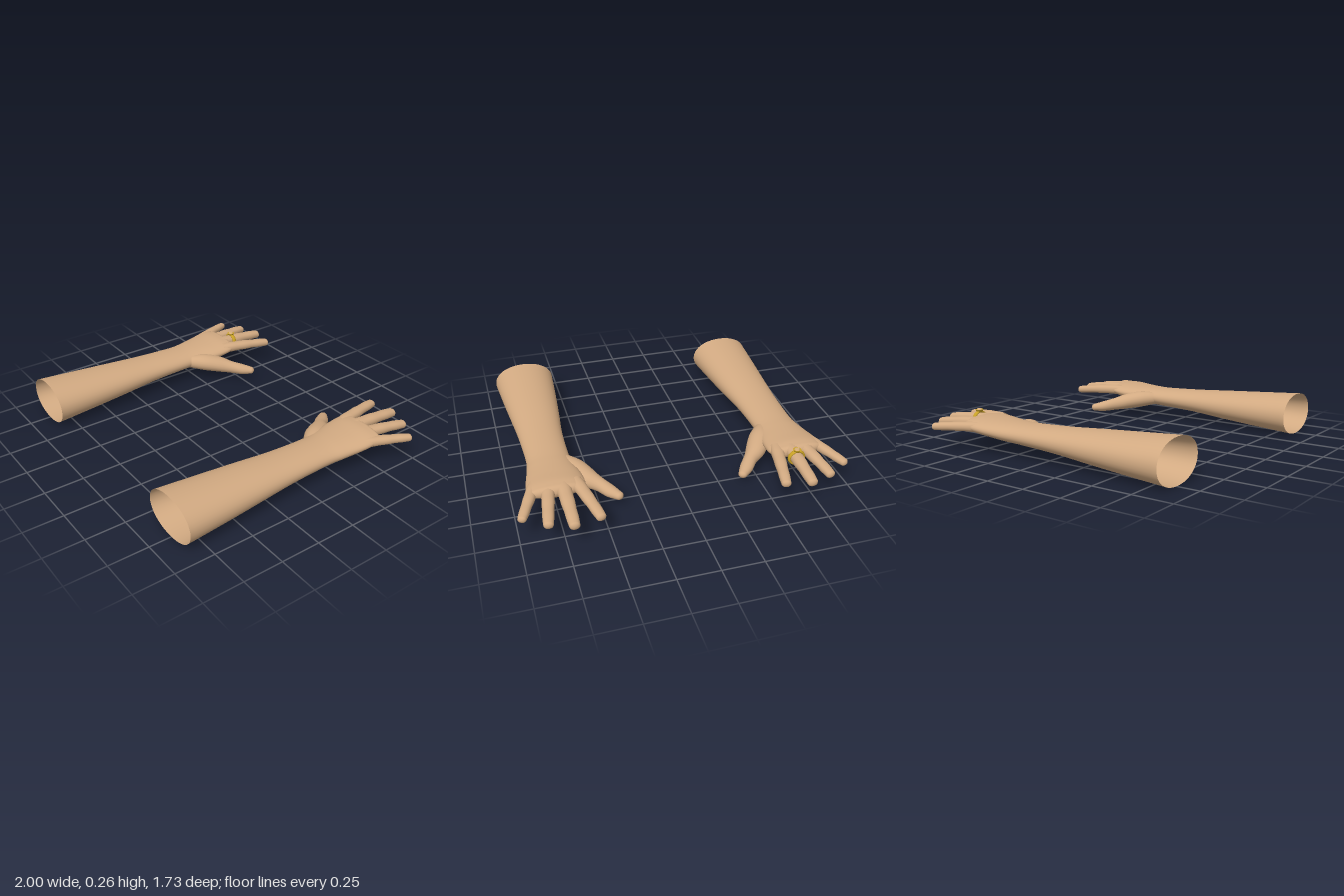
import * as THREE from 'three';

const skin = new THREE.MeshStandardMaterial({ color: 0xd2aa82, side: THREE.DoubleSide });
skin.name = 'skin';
const gold = new THREE.MeshStandardMaterial({ color: 0xc9a227 });
gold.name = 'gold';
const stone = new THREE.MeshStandardMaterial({ color: 0xd9b07a });
stone.name = 'stone';

// Smooth tube through sections [x, y, z, halfWidth, halfHeight], open at the start, rounded at the end
function loft(sections, side, steps, around, cap, squareness = 1) {
  const path = new THREE.CatmullRomCurve3(
    sections.map(([x, y, z]) => new THREE.Vector3(x * side, y, z)), false, 'catmullrom');
  const size = new THREE.CatmullRomCurve3(
    sections.map(([, , , w, h]) => new THREE.Vector3(w, h, 0)), false, 'catmullrom');
  const rings = [];
  for (let i = 0; i <= steps; i++) {
    const t = i / steps;
    const r = size.getPoint(t);
    const a = path.getPoint(Math.max(0, t - 0.01)), b = path.getPoint(Math.min(1, t + 0.01));
    const dir = b.sub(a).setY(0).normalize();
    rings.push({ c: path.getPoint(t), dir, w: r.x, h: r.y });
  }
  const end = rings[steps];
  for (let k = 1; k <= 6; k++) {
    const a = (k / 6) * Math.PI / 2;
    const f = Math.max(Math.cos(a), 0.001);
    rings.push({
      c: end.c.clone().addScaledVector(end.dir, cap * Math.sin(a)),
      dir: end.dir, w: end.w * f, h: end.h * f,
    });
  }
  const pos = [], index = [];
  const soft = (v) => Math.sign(v) * Math.abs(v) ** squareness;
  rings.forEach(({ c, dir, w, h }, i) => {
    for (let j = 0; j < around; j++) {
      const a = (j / around) * Math.PI * 2;
      const u = soft(Math.cos(a)) * w, v = soft(Math.sin(a)) * h;
      pos.push(c.x - dir.z * u, c.y + v, c.z + dir.x * u);
      if (i === rings.length - 1) continue;
      const p = i * around + j, q = i * around + (j + 1) % around;
      index.push(p, p + around, q, q, p + around, q + around);
    }
  });
  const geo = new THREE.BufferGeometry();
  geo.setAttribute('position', new THREE.Float32BufferAttribute(pos, 3));
  geo.setIndex(index);
  geo.computeVertexNormals();
  return geo;
}

// Forearm widening to the open elbow end, then wrist and palm
const ARM = [
  [0.74, 0.133, 0.86, 0.2, 0.132],
  [0.74, 0.133, 0.6, 0.181, 0.114],
  [0.74, 0.134, 0.35, 0.16, 0.096],
  [0.742, 0.136, 0.1, 0.139, 0.076],
  [0.741, 0.137, -0.16, 0.132, 0.063],
  [0.742, 0.142, -0.28, 0.145, 0.059],
  [0.742, 0.152, -0.39, 0.164, 0.054],
  [0.744, 0.162, -0.48, 0.172, 0.05],
  [0.744, 0.168, -0.535, 0.166, 0.041],
];

const THUMB = [
  [0.66, 0.135, -0.19, 0.04, 0.04],
  [0.6, 0.126, -0.29, 0.066, 0.056],
  [0.54, 0.108, -0.38, 0.063, 0.053],
  [0.48, 0.09, -0.445, 0.043, 0.043],
  [0.43, 0.075, -0.506, 0.041, 0.036],
  [0.388, 0.068, -0.555, 0.028, 0.025],
];

// name, knuckle [x, y, z], tip [x, y, z], half width at base and tip
const FINGERS = [
  ['indexFinger', [0.628, 0.17, -0.48], [0.551, 0.152, -0.818], 0.041, 0.029],
  ['middleFinger', [0.707, 0.173, -0.48], [0.705, 0.15, -0.848], 0.046, 0.031],
  ['ringFinger', [0.79, 0.17, -0.48], [0.841, 0.15, -0.803], 0.042, 0.029],
  ['littleFinger', [0.862, 0.163, -0.44], [0.973, 0.152, -0.718], 0.038, 0.026],
];

// Finger with slight swelling at the joints and a drooping end
function fingerSections(a, b, w0, w1) {
  const swell = [0.94, 1.02, 1.0, 1.05, 1.0, 1.06, 1];
  return swell.map((s, i) => {
    const t = i / (swell.length - 1);
    const w = THREE.MathUtils.lerp(w0, w1, t) * s;
    return [
      THREE.MathUtils.lerp(a[0], b[0], t),
      THREE.MathUtils.lerp(a[1], b[1], t * t),
      THREE.MathUtils.lerp(a[2], b[2], t),
      w, w * 0.84,
    ];
  });
}

function add(parent, name, geo, mat) {
  const mesh = new THREE.Mesh(geo, mat);
  mesh.name = name;
  parent.add(mesh);
  return mesh;
}

function buildArm(side, name) {
  const arm = new THREE.Group();
  arm.name = name;
  add(arm, 'forearmAndPalm', loft(ARM, side, 56, 40, 0.035, 0.95), skin);
  add(arm, 'thumb', loft(THUMB, side, 28, 20, 0.024), skin);
  for (const [fingerName, a, b, w0, w1] of FINGERS) {
    add(arm, fingerName, loft(fingerSections(a, b, w0, w1), side, 28, 18, 0.018, 0.9), skin);
  }
  return arm;
}

// Band with a raised setting and a small stone
function buildRing() {
  const ring = new THREE.Group();
  ring.name = 'fingerRing';
  const band = add(ring, 'band', new THREE.TorusGeometry(0.047, 0.008, 10, 40), gold);
  band.scale.set(1, 0.93, 1.8);
  const setting = add(ring, 'setting', new THREE.CylinderGeometry(0.025, 0.018, 0.014, 16), gold);
  setting.position.y = 0.05;
  const gem = add(ring, 'gem', new THREE.CylinderGeometry(0.013, 0.018, 0.008, 12), stone);
  gem.position.y = 0.06;
  ring.position.set(-0.707, 0.168, -0.61);
  return ring;
}

export function createModel() {
  const model = new THREE.Group();
  model.name = 'pairOfArms';
  const withRing = buildArm(-1, 'armWithRing');
  withRing.add(buildRing());
  model.add(buildArm(1, 'plainArm'), withRing);
  return model;
}
